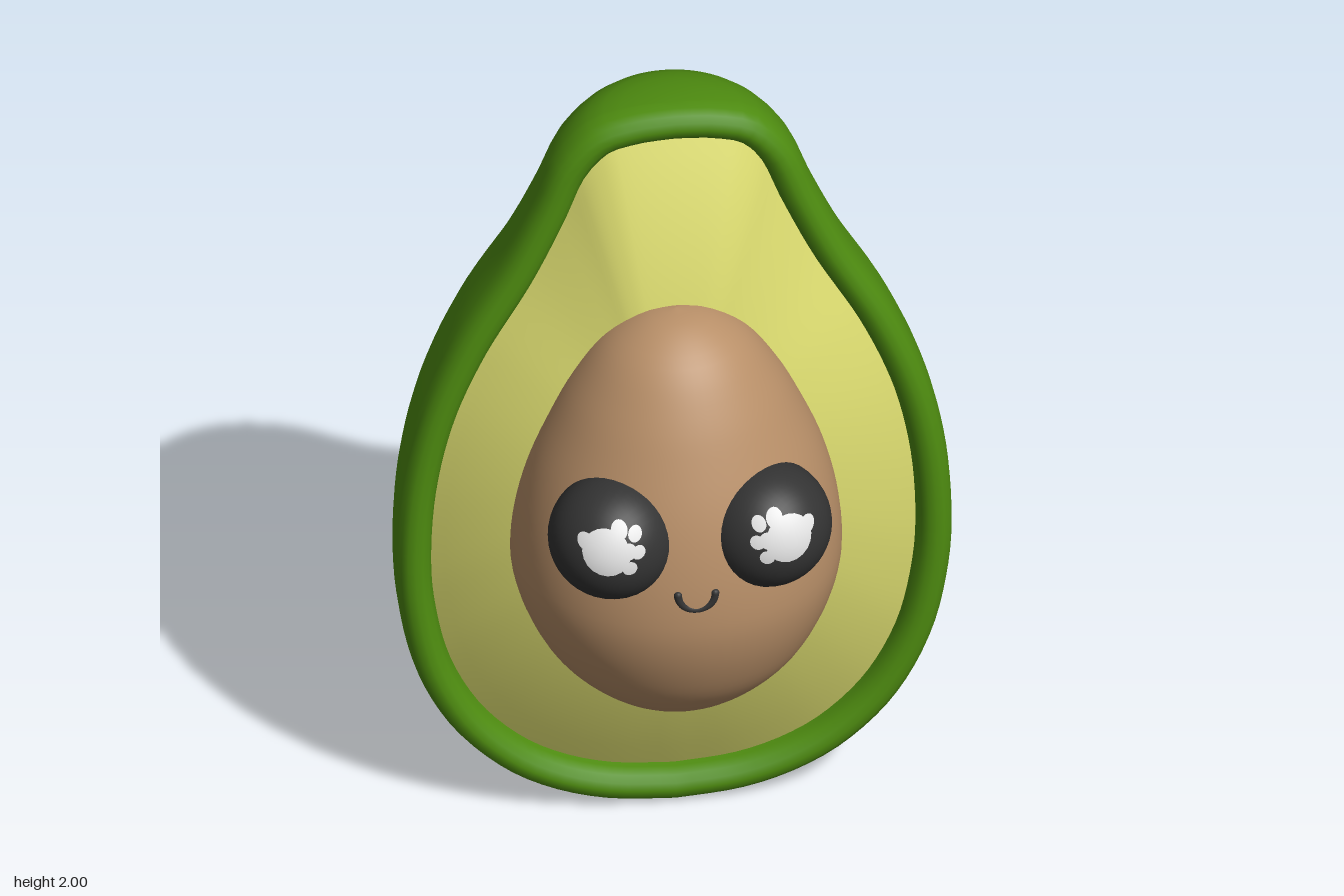
import * as THREE from 'three';
import { mergeVertices, mergeGeometries } from 'three/addons/utils/BufferGeometryUtils.js';

const mat = (name, color) => {
  const m = new THREE.MeshStandardMaterial({ color });
  m.name = name;
  return m;
};

// Smooth spline through [x, y] points of the right half, bottom to top
const spline = (pts) => new THREE.SplineCurve(pts.map(([x, y]) => new THREE.Vector2(x, y)));

// Surface through closed rings of equal length, with smooth normals
function loft(rings) {
  const n = rings[0].length, pos = [], idx = [];
  rings.forEach((ring) => ring.forEach((p) => pos.push(...p)));
  for (let k = 0; k < rings.length - 1; k++) {
    for (let i = 0; i < n; i++) {
      const a = k * n + i, b = k * n + (i + 1) % n;
      idx.push(a, b, a + n, b, b + n, a + n);
    }
  }
  let g = new THREE.BufferGeometry();
  g.setAttribute('position', new THREE.Float32BufferAttribute(pos, 3));
  g.setIndex(idx);
  g = mergeVertices(g, 1e-5);
  g.computeVertexNormals();
  return g;
}

export function createModel() {
  const model = new THREE.Group();
  const skinMat = mat('green skin', 0x4e8c10);
  const fleshMat = mat('yellow flesh', 0xdcdc70);
  const seedMat = mat('brown seed', 0xb88f68);
  const darkMat = mat('dark eye', 0x333333);
  const lightMat = mat('eye highlight', 0xe4e4e4);
  const add = (name, geometry, material, parent = model) => {
    const mesh = new THREE.Mesh(geometry, material);
    mesh.name = name;
    parent.add(mesh);
    return mesh;
  };

  // Pear-shaped outline, counter-clockwise from the bottom
  const half = spline([[0, 0.005], [0.16, 0.02], [0.3, 0.065], [0.42, 0.14], [0.53, 0.26],
    [0.61, 0.42], [0.65, 0.6], [0.66, 0.77], [0.645, 0.97], [0.6, 1.17], [0.52, 1.37],
    [0.41, 1.57], [0.335, 1.735], [0.28, 1.87], [0.2, 1.96], [0.1, 1.992], [0, 2]]).getSpacedPoints(64);
  const outline = [...half, ...half.slice(1, -1).reverse().map((p) => new THREE.Vector2(-p.x, p.y))];
  const N = outline.length;
  const normals = outline.map((p, i) => {
    const t = outline[(i + 1) % N].clone().sub(outline[(i + N - 1) % N]).normalize();
    return new THREE.Vector2(t.y, -t.x);
  });
  const inset = (d) => outline.map((p, i) => p.clone().addScaledVector(normals[i], -d));

  // Skin: round back, then a rolled rim at the front
  const rimZ = 0.08, skinRings = [];
  for (let k = 0; k <= 24; k++) {
    const a = (1 - k / 24) * Math.PI / 2;
    skinRings.push(outline.map((p) =>
      [p.x * Math.cos(a), p.y, rimZ - 0.925 * Math.abs(p.x) * Math.sin(a)]));
  }
  for (const [d, z] of [[0.002, 0.105], [0.01, 0.126], [0.024, 0.139], [0.042, 0.143],
    [0.06, 0.138], [0.075, 0.124], [0.084, 0.1], [0.088, 0.05]]) {
    skinRings.push(inset(d).map((p) => [p.x, p.y, z]));
  }
  add('skin', loft(skinRings), skinMat);

  // Flesh: dome shaded softly round, then flattened to sit inside the rim
  const edge = inset(0.083), midY = 0.95, domeRings = [];
  for (let k = 0; k <= 16; k++) {
    const s = 1 - k / 16;
    domeRings.push(edge.map((p) => [p.x * s, midY + (p.y - midY) * s, 0.24 * (1 - s * s)]));
  }
  const flesh = loft(domeRings), fp = flesh.attributes.position;
  for (let i = 0; i < fp.count; i++) fp.setZ(i, 0.085 + fp.getZ(i) * 0.2);
  add('flesh', flesh, fleshMat);

  // Seed
  const seedProfile = spline([[0, 0.335], [0.1, 0.35], [0.2, 0.405], [0.295, 0.5], [0.355, 0.61],
    [0.387, 0.72], [0.39, 0.82], [0.375, 0.93], [0.345, 1.04], [0.3, 1.15], [0.245, 1.26],
    [0.17, 1.365], [0.08, 1.425], [0, 1.44]]).getSpacedPoints(48);
  seedProfile.forEach((p) => { p.x = Math.max(p.x, 0); });
  const seed = add('seed', new THREE.LatheGeometry(seedProfile, 64), seedMat);
  seed.scale.z = 0.95;
  seed.position.z = 0.13;

  // Eyes: half spheres turned outward and up, with thin curved highlights
  const R = 0.153;
  const glints = [[0.033, 0.045, 0.056], [0.001, 0.097, 0.02], [-0.036, 0.086, 0.017],
    [-0.042, 0.045, 0.017], [-0.02, 0.008, 0.018], [0.078, 0.068, 0.02], [-0.018, 0.05, 0.02]];
  for (const side of [1, -1]) {
    const eye = new THREE.Group();
    eye.name = side > 0 ? 'leftEye' : 'rightEye';
    eye.position.set(side * 0.183, 0.975, 0.375);
    model.add(eye);
    const dome = mergeGeometries([
      new THREE.SphereGeometry(R, 40, 16, 0, Math.PI * 2, 0, Math.PI / 2).rotateX(Math.PI / 2),
      new THREE.CircleGeometry(R, 40).rotateY(Math.PI),
    ]);
    add('eyeball', dome.rotateX(-0.3).rotateY(side * 0.58), darkMat, eye);
    glints.forEach(([x, y, r], j) => {
      const g = new THREE.RingGeometry(0, r, 20, 4).translate(side * x, y, 0);
      const p = g.attributes.position, nrm = g.attributes.normal;
      const q = R + 0.002 + j * 0.0002;
      for (let i = 0; i < p.count; i++) {
        const px = p.getX(i), py = p.getY(i);
        const pz = Math.sqrt(Math.max(q * q - px * px - py * py, 0));
        p.setZ(i, pz);
        nrm.setXYZ(i, px / q, py / q, pz / q);
      }
      add('eyeHighlight', g, lightMat, eye);
    });
  }

  // Smile with rounded ends
  const smile = new THREE.Group();
  smile.name = 'mouth';
  smile.position.set(0, 0.868, 0.492);
  model.add(smile);
  add('lip', new THREE.TorusGeometry(0.044, 0.01, 10, 24, Math.PI).rotateZ(Math.PI), darkMat, smile);
  for (const side of [1, -1]) {
    add('mouthCorner', new THREE.SphereGeometry(0.01, 12, 8), darkMat, smile).position.x = side * 0.044;
  }
  return model;
}
